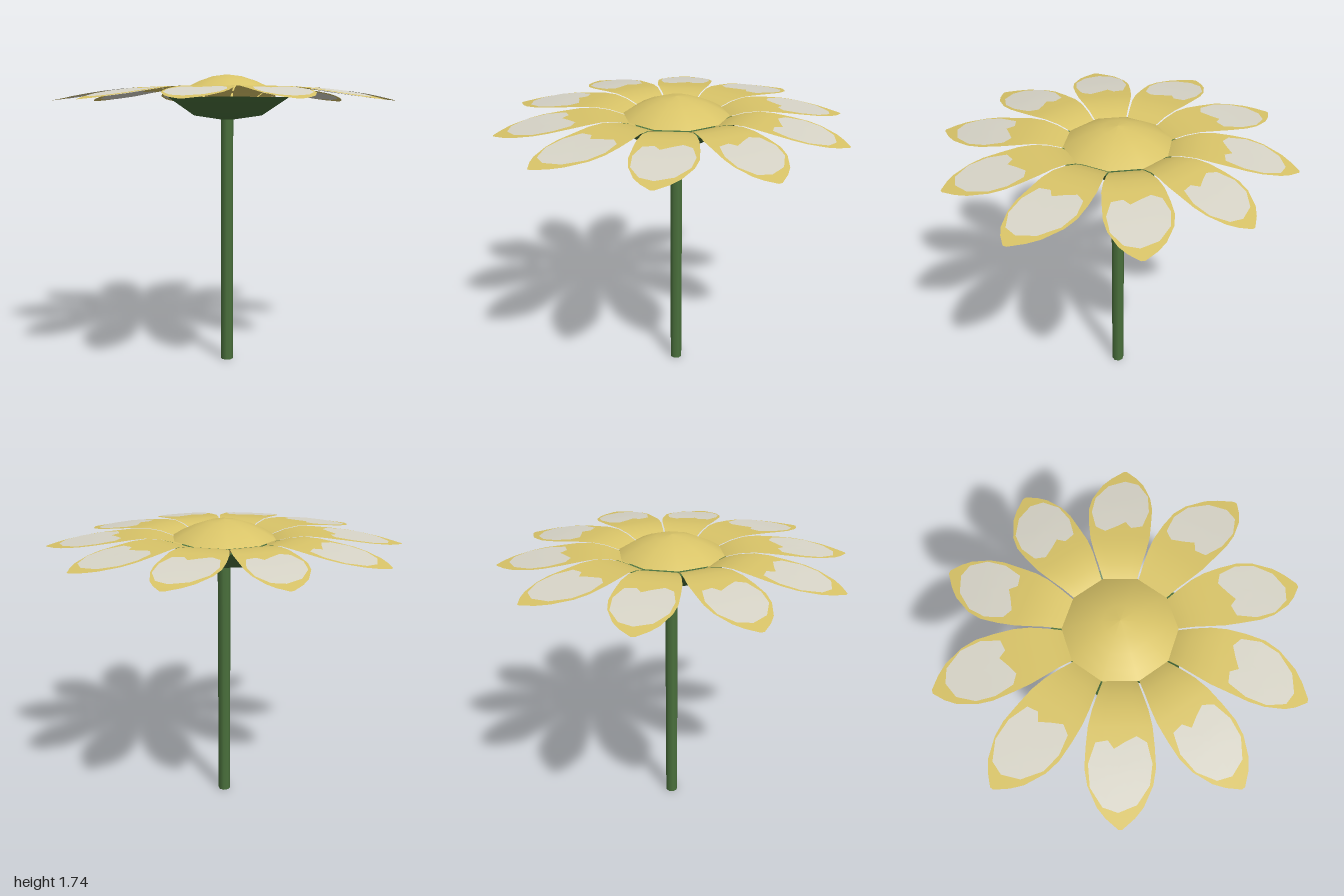
import * as THREE from 'three';

const paint = (name, color, side = THREE.FrontSide) => {
  const m = new THREE.MeshStandardMaterial({ color, side });
  m.name = name;
  return m;
};

// Petal profile: [distance from centre, half width, height]
const STATIONS = [
  [0.24, 0.07, 1.6], [0.29, 0.09, 1.63], [0.36, 0.112, 1.652], [0.44, 0.138, 1.663],
  [0.52, 0.157, 1.659], [0.62, 0.167, 1.647], [0.72, 0.172, 1.634], [0.8, 0.158, 1.621],
  [0.9, 0.112, 1.604], [0.95, 0.07, 1.595], [1.0, 0.01, 1.587],
];
// Outline of the pale patch: [distance from centre, sideways offset]
const PATCH = [
  [0.57, -0.08], [0.6, -0.13], [0.7, -0.155], [0.8, -0.142], [0.89, -0.08], [0.925, 0.01],
  [0.9, 0.085], [0.81, 0.145], [0.7, 0.155], [0.6, 0.12], [0.59, 0.06], [0.63, 0.03], [0.6, -0.02],
];
// Each petal: [length, sideways lean of the tip]
const PETALS = [
  [0.985, 0.03], [1.01, 0.055], [0.98, 0.03], [1.01, 0.065], [1.01, 0],
  [1.015, 0], [1.025, 0.02], [1.0, -0.016], [0.975, 0.055], [0.97, 0.05],
];

function heightAt(u) {
  let i = 1;
  while (i < STATIONS.length - 1 && STATIONS[i][0] < u) i++;
  const [u0, , y0] = STATIONS[i - 1], [u1, , y1] = STATIONS[i];
  return y0 + (y1 - y0) * (u - u0) / (u1 - u0);
}

// Position of a petal point in the flower, for petal number k
function place(k, u, v, lift = 0) {
  const [length, lean] = PETALS[k];
  const a = k * Math.PI / 5;
  const t = Math.max(0, (u - 0.6) / 0.4);
  const r = u < 0.3 ? u : 0.3 + (u - 0.3) * (length - 0.3) / 0.7;
  const s = v + lean * t * t;
  return [r * Math.cos(a) - s * Math.sin(a), heightAt(u) + lift, r * Math.sin(a) + s * Math.cos(a)];
}

function surface(positions, index) {
  const g = new THREE.BufferGeometry();
  g.setAttribute('position', new THREE.Float32BufferAttribute(positions, 3));
  g.setIndex(index);
  g.computeVertexNormals();
  return g;
}

function petalGeometry(k) {
  const across = 4, pos = [], index = [];
  STATIONS.forEach(([u, w], i) => {
    for (let j = 0; j <= across; j++) pos.push(...place(k, u, w * (j * 2 / across - 1)));
    if (i === 0) return;
    for (let j = 0; j < across; j++) {
      const b = i * (across + 1) + j, a = b - across - 1;
      index.push(a, a + 1, b, a + 1, b + 1, b);
    }
  });
  return surface(pos, index);
}

// Concentric rings from the patch centre to its outline
function patchGeometry(k, lift) {
  const rings = 4, n = PATCH.length, pos = place(k, 0.75, 0, lift), index = [];
  for (let r = 1; r <= rings; r++) {
    PATCH.forEach(([u, v], j) => {
      const f = r / rings;
      pos.push(...place(k, 0.75 + (u - 0.75) * f, v * f, lift));
      const a = 1 + (r - 1) * n + j, b = 1 + (r - 1) * n + (j + 1) % n;
      if (r === 1) index.push(0, b, a);
      else index.push(a - n, b, a, a - n, b - n, b);
    });
  }
  return surface(pos, index);
}

const lathe = (points, sides) =>
  new THREE.LatheGeometry(points.map(([x, y]) => new THREE.Vector2(x, y)), sides);

export function createModel() {
  const yellow = paint('petal yellow', 0xd9c468, THREE.DoubleSide);
  const pale = paint('pale patch', 0xd8d5c8, THREE.DoubleSide);
  const green = paint('leaf green', 0x4a703c, THREE.DoubleSide);

  const model = new THREE.Group();
  model.name = 'flower';
  const add = (name, geometry, material, parent = model) => {
    const mesh = new THREE.Mesh(geometry, material);
    mesh.name = name;
    parent.add(mesh);
    return mesh;
  };

  // Stem
  add('stem', new THREE.CylinderGeometry(0.037, 0.037, 1.49, 8), green).position.y = 0.745;

  // Five-sided green cup under the petals
  add('calyx', lathe([[0, 1.47], [0.21, 1.5], [0.37, 1.605]], 5), green).rotation.y = Math.PI;

  // Ten-sided domed centre
  add('flowerCentre', lathe([[0.3, 1.635], [0.245, 1.668], [0.17, 1.702], [0.09, 1.728], [0, 1.74]], 10), yellow);

  // Ring of petals, each with a pale patch on both faces
  PETALS.forEach((_, k) => {
    const petal = new THREE.Group();
    petal.name = `petal${k + 1}`;
    add('petalBlade', petalGeometry(k), yellow, petal);
    add('patchTop', patchGeometry(k, 0.003), pale, petal);
    add('patchUnderside', patchGeometry(k, -0.003), pale, petal);
    model.add(petal);
  });

  model.children.forEach((part) => { part.position.x += 0.013; });
  return model;
}
